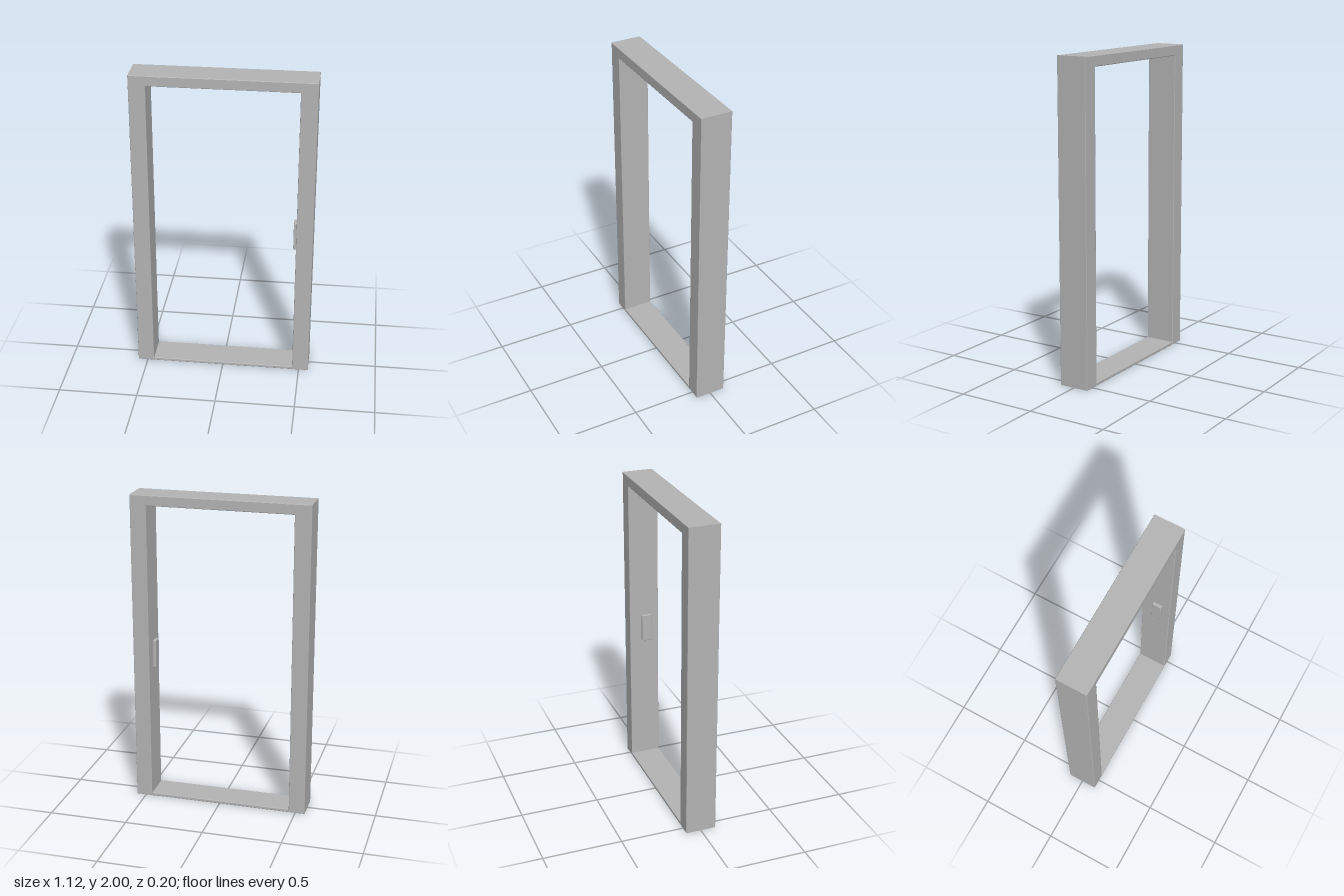
import * as THREE from 'three';
import { RoundedBoxGeometry } from 'three/addons/geometries/RoundedBoxGeometry.js';

const OUTER = 0.561;   // half width of the frame
const INNER = 0.458;   // half width of the opening
const HEIGHT = 2;
const HEAD = 1.935;    // underside of the head
const DEPTH = 0.196;
const BEVEL = 0.004;

export function createModel() {
  const group = new THREE.Group();
  group.name = 'doorFrame';
  const grey = new THREE.MeshStandardMaterial({ color: 0xb4b4b4 });
  grey.name = 'grey';

  const add = (name, geometry, x = 0, y = 0, z = 0) => {
    const mesh = new THREE.Mesh(geometry, grey);
    mesh.name = name;
    mesh.position.set(x, y, z);
    group.add(mesh);
  };

  // Jambs and head: one continuous arch with softened edges
  const outline = new THREE.Shape([
    [-OUTER, 0], [-INNER, 0], [-INNER, HEAD], [INNER, HEAD],
    [INNER, 0], [OUTER, 0], [OUTER, HEIGHT], [-OUTER, HEIGHT],
  ].map(([x, y]) => new THREE.Vector2(x, y)));
  const arch = new THREE.ExtrudeGeometry(outline, {
    depth: DEPTH - 2 * BEVEL,
    bevelThickness: BEVEL,
    bevelSize: BEVEL,
    bevelOffset: -BEVEL,
    bevelSegments: 2,
  });
  arch.translate(0, 0, BEVEL - DEPTH / 2);
  add('jambsAndHead', arch);

  // Threshold between the jambs
  add('threshold', new RoundedBoxGeometry(2 * INNER, 0.02, DEPTH, 2, BEVEL), 0, 0.01, 0);

  // Strike plate on the inside of the left jamb
  add('strikePlate', new RoundedBoxGeometry(0.022, 0.18, 0.064, 2, 0.003), INNER - 0.009, 0.96, 0.012);

  return group;
}
